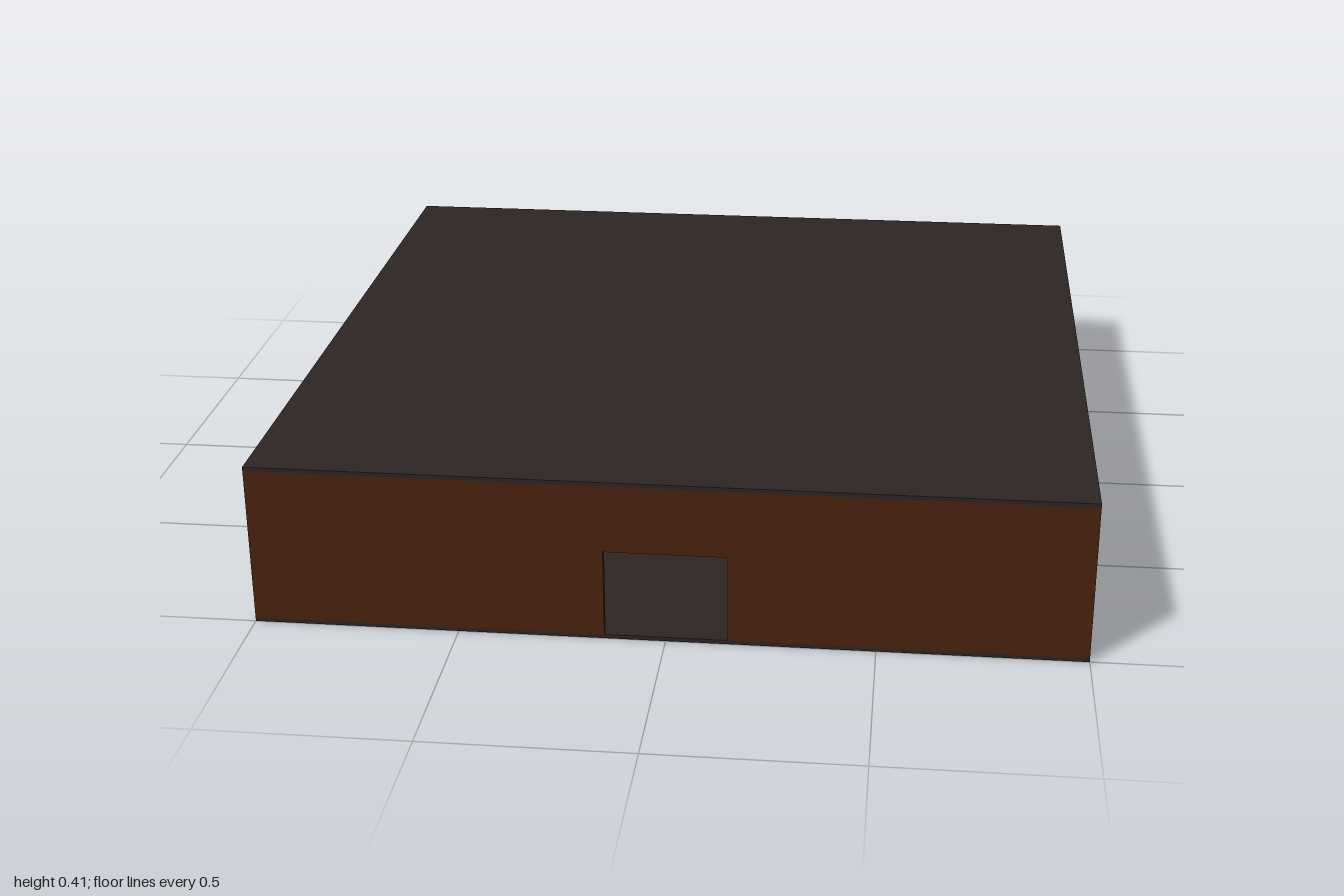
import * as THREE from 'three';

const HEIGHT = 0.41, SLAB = 0.01, WALL = 0.02;
const DOOR_HALF = 0.147, DOOR_TOP = 0.23;

export function createModel() {
  const model = new THREE.Group();
  model.name = 'room';

  const slabDark = new THREE.MeshStandardMaterial({ color: 0x2e2424 });
  slabDark.name = 'dark slab';
  const wallBrown = new THREE.MeshStandardMaterial({ color: 0x4a230e });
  wallBrown.name = 'brown wall';

  // Floor and roof slabs
  const slabGeometry = new THREE.BoxGeometry(2, SLAB, 2);
  for (const [name, y] of [['floor', SLAB / 2], ['roof', HEIGHT - SLAB / 2]]) {
    const slab = new THREE.Mesh(slabGeometry, slabDark);
    slab.name = name;
    slab.position.y = y;
    model.add(slab);
  }

  // One wall with a doorway reaching down to the floor
  function wallGeometry(half) {
    const shape = new THREE.Shape([
      [-half, SLAB], [-DOOR_HALF, SLAB], [-DOOR_HALF, DOOR_TOP], [DOOR_HALF, DOOR_TOP],
      [DOOR_HALF, SLAB], [half, SLAB], [half, HEIGHT - SLAB], [-half, HEIGHT - SLAB],
    ].map(([x, y]) => new THREE.Vector2(x, y)));
    const geometry = new THREE.ExtrudeGeometry(shape, { depth: WALL, bevelEnabled: false });
    return geometry.translate(0, 0, 1 - WALL);
  }

  // Four walls; the side walls fit between the front and back ones
  const longWall = wallGeometry(1), shortWall = wallGeometry(1 - WALL);
  ['frontWall', 'leftWall', 'backWall', 'rightWall'].forEach((name, i) => {
    const wall = new THREE.Mesh(i % 2 ? shortWall : longWall, wallBrown);
    wall.name = name;
    wall.rotation.y = i * Math.PI / 2;
    model.add(wall);
  });

  return model;
}
